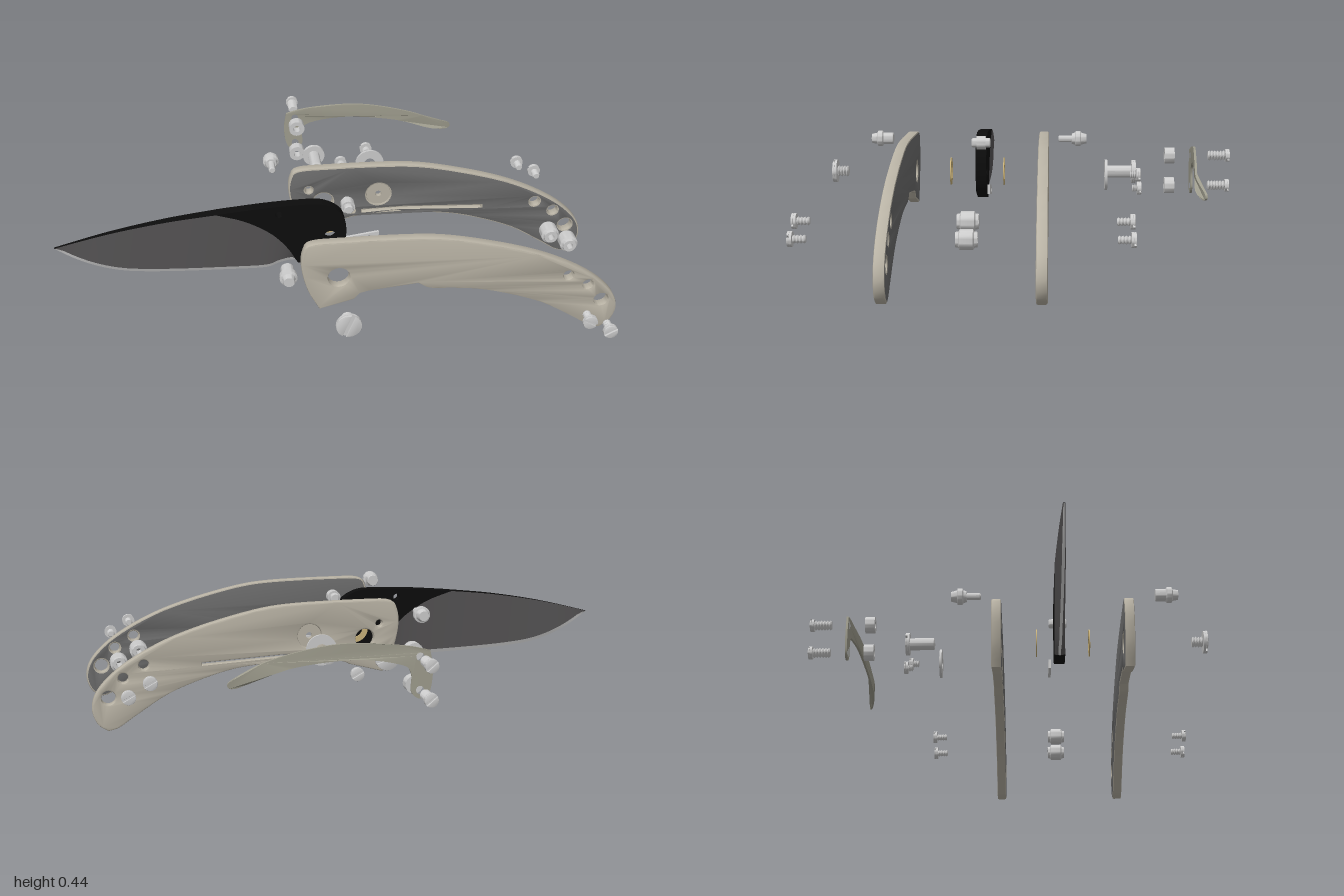
import * as THREE from 'three';
import { toCreasedNormals } from 'three/addons/utils/BufferGeometryUtils.js';

const mat = (color, double) => new THREE.MeshStandardMaterial({ color, side: double ? THREE.DoubleSide : THREE.FrontSide });
const steel = mat(0xcccccc), scale = mat(0xb8b2a4), inner = mat(0x6c6c6c);
const black = mat(0x0c0c0c, true), grind = mat(0x575556, true), edgeMat = mat(0xcccccc, true);
const brass = mat(0xc9b27a), clipMat = mat(0x9f9d8e);

const PIVOT = [-0.01, 0.295];
const REAR = [[0.81, 0.24], [0.885, 0.195]];
const STUD = [-0.195, 0.4];
const CLIP_HOLES = [[-0.065, 0.35], [-0.065, 0.235]];
const LOCK_DISC = [0.2, 0.315];
const LOCK_SCREW = [0.1, 0.247];

const v2 = (pts) => pts.map(([x, y]) => new THREE.Vector2(x, y));
const smooth = (pts, n = 40) => new THREE.SplineCurve(v2(pts)).getPoints(n);
const circle = ([x, y], r) => new THREE.Path().absarc(x, y, r, 0, Math.PI * 2, true);

function mesh(name, geo, material) {
  const m = new THREE.Mesh(geo, material);
  m.name = name;
  return m;
}

// Plate cut from an outline, lying in xy and spanning z .. z + depth
function plate(points, holes, z, depth, bevel = 0) {
  const shape = new THREE.Shape(points);
  shape.holes.push(...holes);
  const geo = new THREE.ExtrudeGeometry(shape, {
    depth: depth - 2 * bevel, curveSegments: 14, bevelEnabled: bevel > 0,
    bevelThickness: bevel, bevelSize: bevel, bevelOffset: -bevel, bevelSegments: 2,
  });
  geo.translate(0, 0, z + bevel);
  return toCreasedNormals(geo, 0.5);
}

// Turned part along z from a profile of [radius, z]
function turned(name, profile, [x, y], z, material = steel) {
  const geo = new THREE.LatheGeometry(v2(profile), 28).rotateX(Math.PI / 2);
  // rotateX sends the lathe axis to +z
  const m = mesh(name, toCreasedNormals(geo, 0.5), material);
  m.position.set(x, y, z);
  return m;
}

const ring = (name, pos, z, ri, ro, h, material) =>
  turned(name, [[ri, 0], [ro, 0], [ro, h], [ri, h], [ri, 0]], pos, z, material);

// Slotted screw: the head's outer face is at z, dir tells which way it faces
function screw(name, [x, y], z, dir, headR, shaftR, length, angle, threaded = true) {
  const g = new THREE.Group();
  g.name = name;
  const h = 0.016, half = h / 2;
  const profile = [[0, -length], [shaftR * 0.8, -length]];
  const turns = threaded ? Math.max(3, Math.round((length - h) / 0.011)) : 1;
  const step = (length - h) / turns;
  for (let i = 0; i < turns; i++) {
    const s = -length + i * step;
    if (threaded) profile.push([shaftR * 0.72, s], [shaftR, s + step * 0.5]);
    else profile.push([shaftR, s + 0.003]);
  }
  profile.push([threaded ? shaftR * 0.72 : shaftR, -h], [headR, -h], [headR, -half], [0, -half]);
  g.add(turned('screwBody', profile, [0, 0], 0));
  // two half discs leave the driver slot open
  const a = Math.asin(0.14);
  for (const side of [0, Math.PI]) {
    const arc = new THREE.Shape().absarc(0, 0, headR, a + side, Math.PI - a + side, false);
    const geo = plate(arc.getPoints(14), [], -half, half, 0.002);
    g.add(mesh('screwHeadHalf', geo, steel));
  }
  g.children.forEach((c) => { c.rotation.z = angle; });
  g.position.set(x, y, z);
  if (dir < 0) g.rotation.y = Math.PI;
  return g;
}

// Curved handle slab with chamfered rim and a darker inside face
function handle(name, z, innerIsLow, notch, holes) {
  const top = smooth([[0.945, 0.001], [0.983, 0.03], [1, 0.09], [0.972, 0.16], [0.885, 0.24], [0.75, 0.315],
    [0.6, 0.37], [0.4, 0.42], [0.25, 0.437], [0, 0.44], [-0.105, 0.435], [-0.133, 0.405], [-0.14, 0.34],
    [-0.118, 0.245], [-0.078, 0.165]], 70);
  const mid = notch
    ? [[0.045, 0.198], [0.065, 0.222], [0.1, 0.23], [0.27, 0.248], [0.3, 0.228]]
    : [[0.05, 0.2], [0.065, 0.208], [0.1, 0.218], [0.27, 0.236], [0.3, 0.226]];
  const bottom = smooth([[0.32, 0.223], [0.5, 0.203], [0.7, 0.138], [0.83, 0.062], [0.905, 0.012], [0.945, 0.001]], 28);
  const geo = plate([...top, ...v2(mid), ...bottom.slice(0, -1)], holes, z, 0.037, 0.006);
  const [caps, sides] = geo.groups.map((g) => ({ ...g }));
  geo.clearGroups();
  geo.addGroup(0, caps.count / 2, innerIsLow ? 1 : 0);
  geo.addGroup(caps.count / 2, caps.count / 2, innerIsLow ? 0 : 1);
  geo.addGroup(sides.start, sides.count, 0);
  return mesh(name, geo, [scale, inner]);
}

// Surface across rows of 3D points
function loft(rows) {
  const n = rows[0].length, pos = rows.flat(2), idx = [];
  for (let i = 0; i < rows.length - 1; i++) {
    for (let j = 0; j < n - 1; j++) {
      const a = i * n + j, b = a + n;
      idx.push(a, b, a + 1, b, b + 1, a + 1);
    }
  }
  const geo = new THREE.BufferGeometry();
  geo.setAttribute('position', new THREE.Float32BufferAttribute(pos, 3));
  geo.setIndex(idx);
  geo.computeVertexNormals();
  return geo;
}

// Linear lookup of y along a polyline sorted in x
function yAt(pts, x) {
  let i = 1;
  while (i < pts.length - 1 && pts[i].x < x) i++;
  const p = pts[i - 1], q = pts[i];
  return THREE.MathUtils.mapLinear(x, p.x, q.x, p.y, q.y);
}

function blade() {
  const g = new THREE.Group();
  g.name = 'blade';
  const spine = smooth([[-1, 0.304], [-0.8, 0.355], [-0.6, 0.392], [-0.42, 0.414]], 24);
  const plunge = smooth([[-0.42, 0.414], [-0.32, 0.38], [-0.23, 0.325], [-0.17, 0.26], [-0.13, 0.19]], 24);
  const edge = smooth([[-1, 0.302], [-0.93, 0.254], [-0.85, 0.215], [-0.75, 0.187], [-0.6, 0.173], [-0.4, 0.166],
    [-0.25, 0.164], [-0.2, 0.18], [-0.16, 0.19], [-0.13, 0.187]], 60);
  const upper = [...spine, ...plunge.slice(1)];
  // hollow ground faces and the bright cutting edge on both sides
  for (const s of [1, -1]) {
    const faces = [], edges = [];
    for (const { x } of upper) {
      const t = yAt(upper, x), b = yAt(edge, x);
      const w = 0.02 * Math.min(1, 0.2 + 0.8 * (x + 1) / 0.58);
      const e = Math.min(b + 0.014, (t + b) / 2), we = Math.min(0.005, w * 0.6);
      faces.push([[x, t, s * w], [x, e, s * we]]);
      edges.push([[x, e, s * we], [x, b, 0]]);
    }
    g.add(mesh('grindFace', loft(faces), grind), mesh('cuttingEdge', loft(edges), edgeMat));
  }
  g.add(mesh('spineFlat', loft(spine.map(({ x, y }) => {
    const w = 0.02 * (0.2 + 0.8 * (x + 1) / 0.58);
    return [[x, y, w], [x, y, -w]];
  })), black));
  // full-thickness black tang behind the plunge line
  const tang = smooth([[-0.1, 0.182], [-0.04, 0.2], [0.02, 0.225], [0.045, 0.28], [0.045, 0.35], [0.02, 0.4],
    [-0.04, 0.432], [-0.12, 0.436], [-0.25, 0.43], [-0.42, 0.4145]], 50);
  g.add(mesh('tang', plate([...plunge, ...tang.slice(0, -1)], [circle(PIVOT, 0.023), circle(STUD, 0.013)], -0.02, 0.04), black));
  g.position.z = 0.185;
  return g;
}

// Pocket clip: flat outline bowed in z by a rule
function clip() {
  const outline = smooth([[-0.1, 0.37], [0, 0.392], [0.2, 0.404], [0.4, 0.368], [0.55, 0.31], [0.582, 0.288], [0.565, 0.272],
    [0.5, 0.285], [0.35, 0.33], [0.15, 0.348], [0, 0.325], [-0.035, 0.29], [-0.035, 0.23], [-0.065, 0.205],
    [-0.098, 0.225], [-0.11, 0.3], [-0.1, 0.37]], 110);
  const geo = plate(outline.slice(0, -1), CLIP_HOLES.map((c) => circle(c, 0.014)), 0, 0.008);
  const bow = smooth([[-0.12, -0.616], [0.02, -0.614], [0.2, -0.6], [0.4, -0.584], [0.49, -0.58], [0.59, -0.604]], 60);
  const p = geo.attributes.position;
  for (let i = 0; i < p.count; i++) p.setZ(i, p.getZ(i) + yAt(bow, p.getX(i)));
  return mesh('pocketClip', toCreasedNormals(geo, 0.5), clipMat);
}

export function createModel() {
  const root = new THREE.Group();
  root.name = 'explodedFoldingKnife';
  const lanyard = () => circle([0.94, 0.125], 0.026);
  const rearHoles = () => REAR.map((c) => circle(c, 0.019));

  root.add(blade(), clip());

  // handle halves; the rear one carries the lock bar slot and lock disc pocket
  root.add(handle('frontHandle', 0.43, true, true, [circle(PIVOT, 0.038), lanyard(), ...rearHoles()]));
  const slot = new THREE.Path(v2([[0.14, 0.237], [0.3, 0.24], [0.6, 0.226], [0.6, 0.236], [0.3, 0.25], [0.14, 0.247]]));
  root.add(handle('backHandle', -0.07, false, false, [circle(PIVOT, 0.036), lanyard(), ...rearHoles(), slot,
    circle(LOCK_DISC, 0.045), circle(LOCK_SCREW, 0.009), ...CLIP_HOLES.map((c) => circle(c, 0.013))]));
  root.add(ring('lockDiscPocket', LOCK_DISC, -0.055, 0.012, 0.05, 0.018, scale));

  // pivot, washers and lock hardware
  root.add(screw('pivotScrew', PIVOT, 0.747, 1, 0.043, 0.021, 0.058, 1.2));
  root.add(screw('pivotBarrel', PIVOT, -0.397, -1, 0.043, 0.023, 0.11, 0.3, false));
  for (const z of [0.098, 0.298]) root.add(ring('pivotWasher', PIVOT, z, 0.03, 0.052, 0.004, brass));
  root.add(ring('lockDisc', [0.2, 0.31], -0.281, 0.022, 0.056, 0.009));
  root.add(screw('lockDiscScrew', [0.2, 0.31], -0.402, -1, 0.024, 0.014, 0.038, 0.5));
  root.add(screw('lockPlateScrew', LOCK_SCREW, -0.412, -1, 0.024, 0.014, 0.034, 0.5));
  root.add(mesh('lockPlate', plate(v2([[0.04, 0.215], [0.175, 0.235], [0.175, 0.27], [0.04, 0.25]]),
    [circle([0.075, 0.237], 0.009), circle([0.14, 0.247], 0.009)], 0.145, 0.01), steel));
  root.add(turned('stopPin', [[0, 0], [0.014, 0], [0.018, 0.004], [0.018, 0.018], [0.025, 0.018], [0.025, 0.052],
    [0.018, 0.052], [0.018, 0.066], [0.014, 0.07], [0, 0.07]], [0.055, 0.41], 0.148));

  // rear spacers with their screws from both sides
  REAR.forEach((c, i) => {
    root.add(turned('rearSpacer', [[0.012, 0], [0.024, 0], [0.026, 0.01], [0.033, 0.014], [0.033, 0.056], [0.026, 0.06],
      [0.024, 0.07], [0.012, 0.07], [0.012, 0]], c, 0.15));
    root.add(screw('frontHandleScrew', c, 0.747, 1, 0.025, 0.014, 0.058, -0.5 + i));
    root.add(screw('backHandleScrew', c, -0.347, -1, 0.025, 0.014, 0.058, 0.5));
  });

  // clip screws and spacers
  CLIP_HOLES.forEach((c) => {
    root.add(screw('clipScrew', c, -0.757, -1, 0.024, 0.019, 0.082, 0.7));
    root.add(ring('clipSpacer', c, -0.547, 0.014, 0.031, 0.037));
  });

  // thumb studs
  root.add(turned('frontThumbStud', [[0, 0], [0.021, 0], [0.023, 0.003], [0.023, 0.038], [0.03, 0.043], [0.03, 0.06],
    [0.022, 0.064], [0.018, 0.084], [0, 0.084]], STUD, 0.54));
  root.add(turned('backThumbStud', [[0, 0], [0.018, 0], [0.024, 0.022], [0.03, 0.024], [0.03, 0.042], [0.024, 0.046],
    [0.02, 0.058], [0.013, 0.058], [0.013, 0.106], [0.01, 0.11], [0, 0.11]], STUD, -0.216));

  return root;
}
